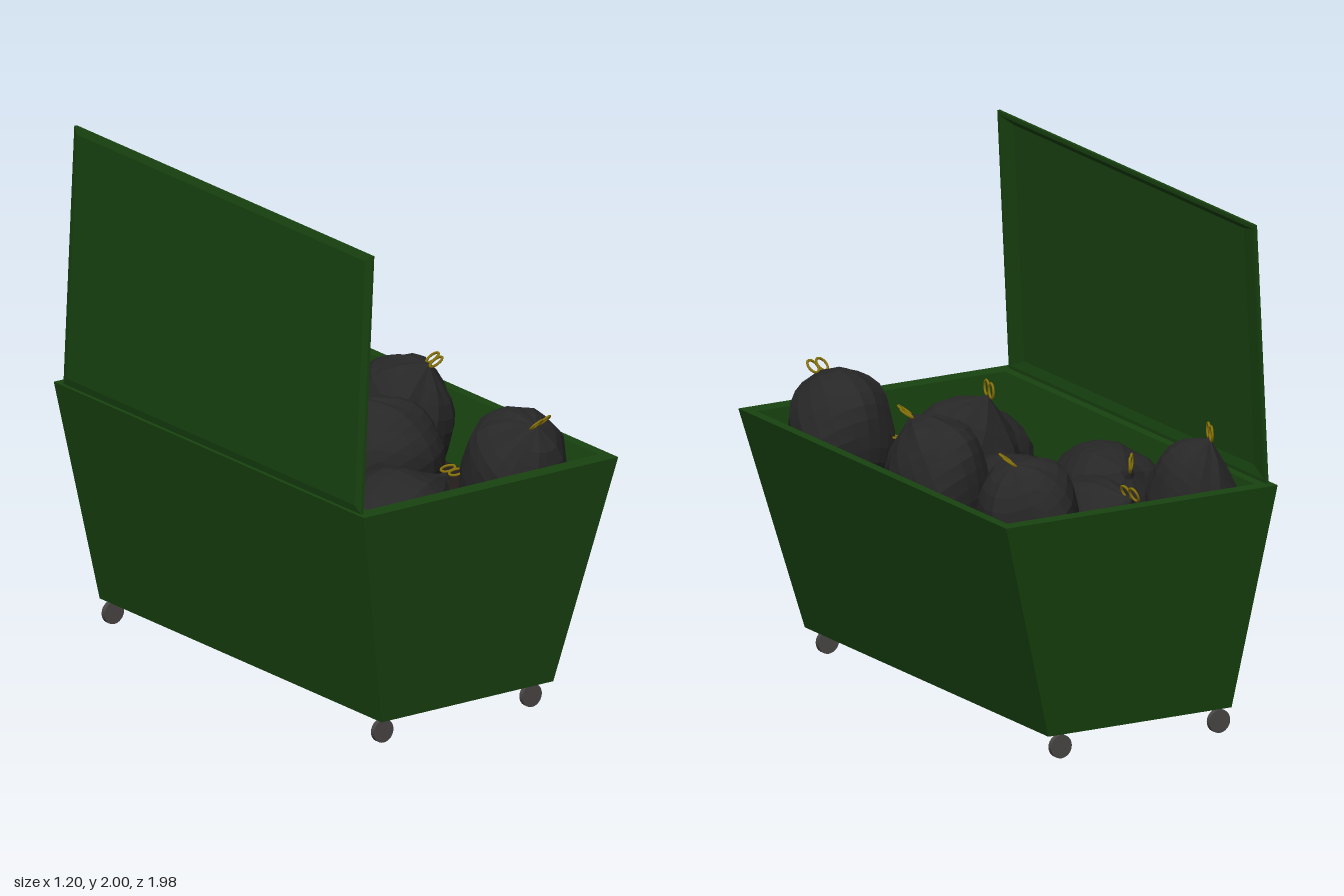
import * as THREE from 'three';

const mat = (color, extra = {}) => new THREE.MeshStandardMaterial({ color, flatShading: true, ...extra });
const GREEN = mat(0x184310);
const BAG = mat(0x272727);
const TIE = new THREE.MeshStandardMaterial({ color: 0x8a7408 });
const WHEEL = mat(0x4a4646);
const FILL = mat(0x241e1b);

// Closed solid through rectangular rings [y, x0, x1, z0, z1], capped at both ends
function loft(rings) {
  const pos = [], idx = [];
  for (const [y, x0, x1, z0, z1] of rings) pos.push(x0, y, z1, x1, y, z1, x1, y, z0, x0, y, z0);
  const quad = (a, b, c, d) => idx.push(a, b, c, a, c, d);
  for (let r = 0; r < rings.length - 1; r++) {
    for (let i = 0; i < 4; i++) {
      const a = r * 4 + i, b = r * 4 + (i + 1) % 4;
      quad(a, b, b + 4, a + 4);
    }
  }
  const e = (rings.length - 1) * 4;
  quad(3, 2, 1, 0);
  quad(e, e + 1, e + 2, e + 3);
  const g = new THREE.BufferGeometry();
  g.setAttribute('position', new THREE.Float32BufferAttribute(pos, 3));
  g.setIndex(idx);
  const flat = g.toNonIndexed();
  flat.computeVertexNormals();
  return flat;
}

function add(parent, name, geometry, material) {
  const m = new THREE.Mesh(geometry, material);
  m.name = name;
  parent.add(m);
  return m;
}

// Lumpy ellipsoid whose pole is drawn out into a pleated neck at the tie
function bagGeometry(center, radii, neck, seed) {
  const c = new THREE.Vector3(...center), r = new THREE.Vector3(...radii);
  const tip = new THREE.Vector3(...neck).sub(c);
  const q = new THREE.Quaternion().setFromUnitVectors(new THREE.Vector3(0, 1, 0), tip.clone().divide(r).normalize());
  const g = new THREE.SphereGeometry(1, 20, 14);
  const p = g.attributes.position, v = new THREE.Vector3();
  for (let i = 0; i < p.count; i++) {
    v.fromBufferAttribute(p, i);
    const along = v.y, around = Math.atan2(v.z, v.x);
    const ring = Math.sqrt(Math.max(0, 1 - along * along));
    const pleat = 0.05 * Math.sin(7 * around + seed) * Math.max(0, along) * ring;
    const lump = 0.035 * Math.sin(4 * v.x + seed * 2.1) * Math.cos(5 * v.z + seed)
      + 0.025 * Math.sin(6 * v.y + 3 * v.x + seed * 3.7);
    v.multiplyScalar(0.98 + pleat + lump).applyQuaternion(q).multiply(r);
    if (along > 0.999) v.copy(tip);
    else if (along > 0.96) v.lerp(tip, 0.45);
    v.add(c);
    p.setXYZ(i, v.x, v.y, v.z);
  }
  g.computeVertexNormals();
  return g;
}

// Two wire loops side by side, pointing along out
function addTie(parent, neck, out, side) {
  const o = new THREE.Vector3(...out).normalize();
  const n = new THREE.Vector3(...side).cross(o).normalize();
  const s = o.clone().cross(n);
  const tie = new THREE.Group();
  tie.name = 'bagTie';
  tie.quaternion.setFromRotationMatrix(new THREE.Matrix4().makeBasis(s, o, n));
  tie.position.set(...neck);
  for (const k of [-1, 1]) {
    const loop = add(tie, 'tieLoop', new THREE.TorusGeometry(0.025, 0.005, 6, 16), TIE);
    loop.position.set(k * 0.026, 0.022, 0);
    loop.scale.y = 1.15;
  }
  parent.add(tie);
}

export function createModel() {
  const model = new THREE.Group();
  model.name = 'wasteContainer';

  // Tapered hollow body with a flat rim
  add(model, 'binBody', loft([
    [0.10, -0.45, 0.36, -0.90, 0.90],
    [0.975, -0.60, 0.60, -0.99, 0.99],
    [0.975, -0.535, 0.56, -0.93, 0.92],
    [0.14, -0.40, 0.32, -0.85, 0.84],
  ]), GREEN);

  // Packed rubbish under the bags
  add(model, 'rubbishFill', loft([
    [0.15, -0.40, 0.32, -0.85, 0.84],
    [0.72, -0.505, 0.495, -0.91, 0.905],
  ]), FILL);

  // Open lid, dished on its inner side
  const lid = add(model, 'lid', loft([
    [0, -1.00, -0.03, -0.92, 0.92],
    [0.008, -1.026, 0, -0.95, 0.95],
    [0.02, -1.026, 0, -0.95, 0.95],
    [0.02, -1.01, -0.015, -0.935, 0.935],
    [0.009, -0.99, -0.05, -0.85, 0.85],
  ]), GREEN);
  lid.position.set(-0.592, 0.975, 0);
  lid.rotation.z = -Math.PI / 2 - 0.05;

  // Wheels
  for (const x of [-0.41, 0.29]) {
    for (const z of [0.85, -0.87]) {
      const w = add(model, 'wheel', new THREE.CylinderGeometry(0.046, 0.046, 0.02, 24), WHEEL);
      w.rotation.x = Math.PI / 2;
      w.position.set(x, 0.046, z);
    }
  }

  // Bags: centre, radii, neck position, tie direction, tie side axis
  const bags = [
    [[-0.37, 0.88, -0.74], [0.165, 0.25, 0.20], [-0.42, 1.14, -0.79], [0, 1, 0], [0.35, 0, -1]],
    [[-0.02, 0.79, -0.61], [0.18, 0.22, 0.27], [-0.04, 0.97, -0.85], [0.4, 0.9, 0], [0.1, 0, 1]],
    [[0.32, 0.90, -0.68], [0.20, 0.25, 0.22], [0.40, 1.135, -0.70], [0.8, 0.6, 0.2], [-0.3, 0, 1]],
    [[-0.30, 0.78, -0.22], [0.21, 0.22, 0.29], [-0.25, 0.97, -0.49], [0, 1, 0], [0.6, 0, -0.8]],
    [[0.04, 0.76, -0.11], [0.24, 0.21, 0.27], [0.24, 0.92, -0.34], [1, 0.25, 0], [0, 0, 1]],
    [[0.335, 0.90, -0.04], [0.195, 0.26, 0.22], [0.39, 1.14, 0.07], [0.8, 0.6, 0.3], [-0.4, 0, 1]],
    [[0.05, 0.87, 0.26], [0.23, 0.25, 0.205], [-0.03, 1.13, 0.19], [0, 1, 0], [0.2, 0, -1]],
    [[-0.17, 0.76, 0.61], [0.27, 0.22, 0.23], [0.12, 0.89, 0.55], [1, 0.2, 0], [0, 0, 1]],
    [[0.31, 0.90, 0.72], [0.21, 0.26, 0.215], [0.32, 1.12, 0.85], [0.2, 0.7, 0.7], [1, 0, -0.4]],
  ];
  bags.forEach(([center, radii, neck, out, side], i) => {
    const bag = new THREE.Group();
    bag.name = 'rubbishBag';
    add(bag, 'bagBody', bagGeometry(center, radii, neck, i * 1.7 + 0.4), BAG);
    addTie(bag, neck, out, side);
    model.add(bag);
  });

  return model;
}
